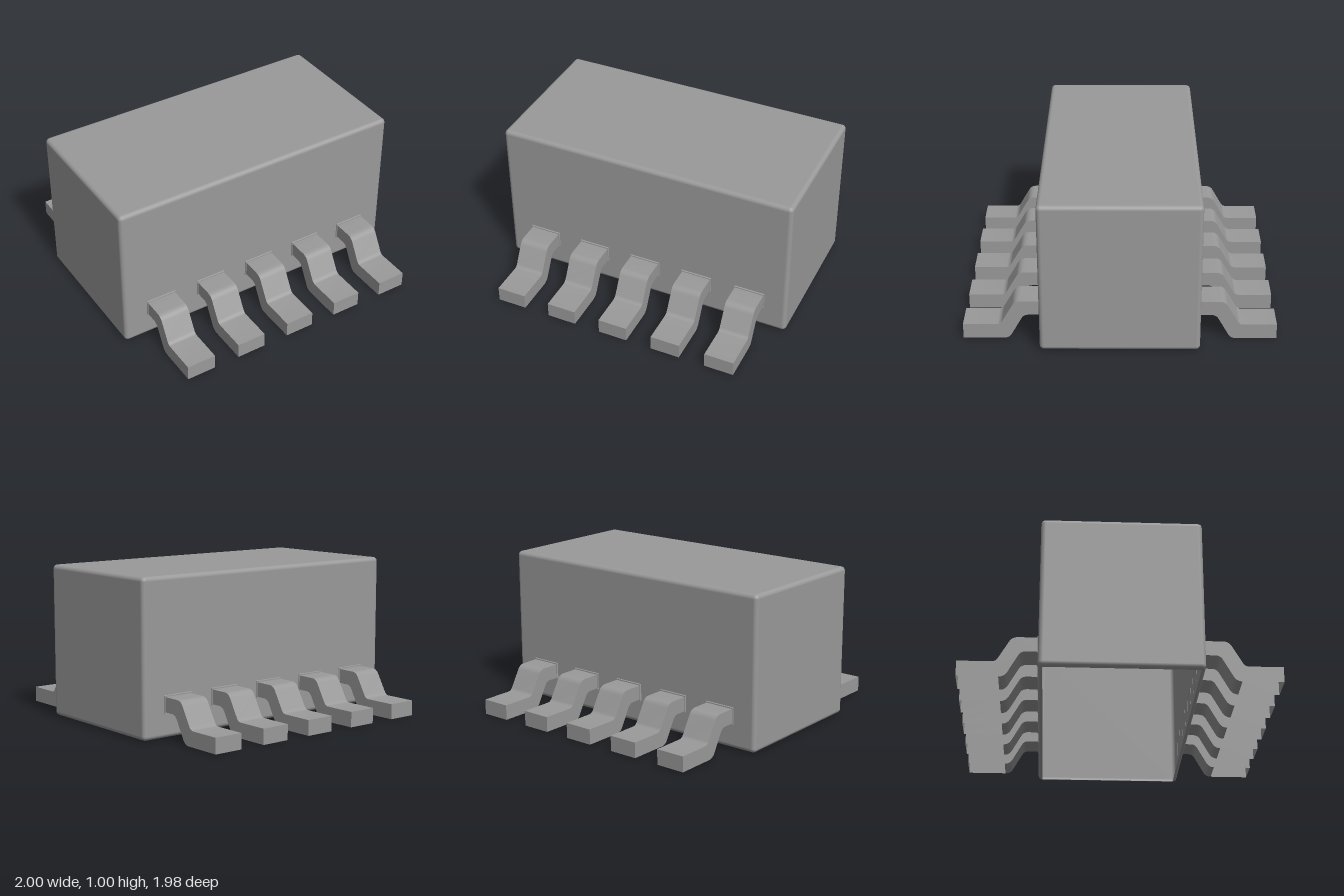
import * as THREE from 'three';
import { toCreasedNormals } from 'three/addons/utils/BufferGeometryUtils.js';
import { RoundedBoxGeometry } from 'three/addons/geometries/RoundedBoxGeometry.js';

const grey = new THREE.MeshStandardMaterial({ color: 0x9a9a9a, side: THREE.DoubleSide });

// Leaves out the triangles whose three corners all pass the test.
function openFaces(geometry, test) {
  const source = geometry.index ? geometry.toNonIndexed() : geometry;
  const p = source.attributes.position;
  const n = source.attributes.normal;
  const positions = [], normals = [];
  for (let i = 0; i < p.count; i += 3) {
    const corners = [i, i + 1, i + 2];
    if (corners.every((k) => test(p.getX(k), p.getY(k), p.getZ(k)))) continue;
    for (const k of corners) {
      positions.push(p.getX(k), p.getY(k), p.getZ(k));
      normals.push(n.getX(k), n.getY(k), n.getZ(k));
    }
  }
  const result = new THREE.BufferGeometry();
  result.setAttribute('position', new THREE.Float32BufferAttribute(positions, 3));
  result.setAttribute('normal', new THREE.Float32BufferAttribute(normals, 3));
  return result;
}

// Bent lead: S-shaped side profile (z, y) with rounded bends, open under the foot.
function leadGeometry(width) {
  const points = [
    [0.5, 0.265], [0.66, 0.265, 0.035], [0.755, 0.1, 0.025], [0.99, 0.1],
    [0.99, 0], [0.7, 0, 0.035], [0.605, 0.17, 0.03], [0.5, 0.17],
  ];
  const shape = new THREE.Shape();
  points.forEach(([x, y, bend], i) => {
    if (i === 0) return shape.moveTo(x, y);
    if (!bend) return shape.lineTo(x, y);
    const corner = new THREE.Vector2(x, y);
    const towards = ([tx, ty]) =>
      new THREE.Vector2(tx, ty).sub(corner).setLength(bend).add(corner);
    const a = towards(points[i - 1]);
    const b = towards(points[i + 1]);
    shape.lineTo(a.x, a.y);
    shape.quadraticCurveTo(x, y, b.x, b.y);
  });
  const geometry = new THREE.ExtrudeGeometry(shape, {
    depth: width, bevelEnabled: false, curveSegments: 6,
  });
  geometry.translate(0, 0, -width / 2).rotateY(-Math.PI / 2);
  const smooth = toCreasedNormals(geometry, 0.6);
  return openFaces(smooth, (x, y, z) => y < 0.0001 || z < 0.5001);
}

// Shallow collar that flares where the lead meets the case wall.
function collarGeometry() {
  const geometry = new THREE.BoxGeometry(0.21, 0.115, 0.01);
  const p = geometry.attributes.position;
  for (let i = 0; i < p.count; i++) {
    if (p.getZ(i) > 0) p.setXY(i, p.getX(i) * 0.97, p.getY(i) * 0.95);
  }
  geometry.translate(0, 0.2175, 0.503);
  geometry.computeVertexNormals();
  return openFaces(geometry, (x, y, z) => z < 0.4999);
}

export function createModel() {
  const model = new THREE.Group();
  model.name = 'surfaceMountComponent';

  // Hollow case with softened edges, open underneath
  const caseGeometry = new RoundedBoxGeometry(2, 0.998, 1, 4, 0.028);
  caseGeometry.translate(0, 0.505, 0);
  const body = new THREE.Mesh(openFaces(caseGeometry, (x, y) => y < 0.0061), grey);
  body.name = 'case';
  model.add(body);

  // Five leads along the front and five along the back
  const lead = leadGeometry(0.196);
  const collar = collarGeometry();
  for (const side of ['front', 'back']) {
    const row = new THREE.Group();
    row.name = side + 'Leads';
    for (let i = -2; i <= 2; i++) {
      const leadMesh = new THREE.Mesh(lead, grey);
      leadMesh.name = 'lead';
      const collarMesh = new THREE.Mesh(collar, grey);
      collarMesh.name = 'leadCollar';
      leadMesh.position.x = collarMesh.position.x = i * 0.37;
      row.add(leadMesh, collarMesh);
    }
    if (side === 'back') row.rotation.y = Math.PI;
    row.position.x = 0.005;
    model.add(row);
  }
  return model;
}
